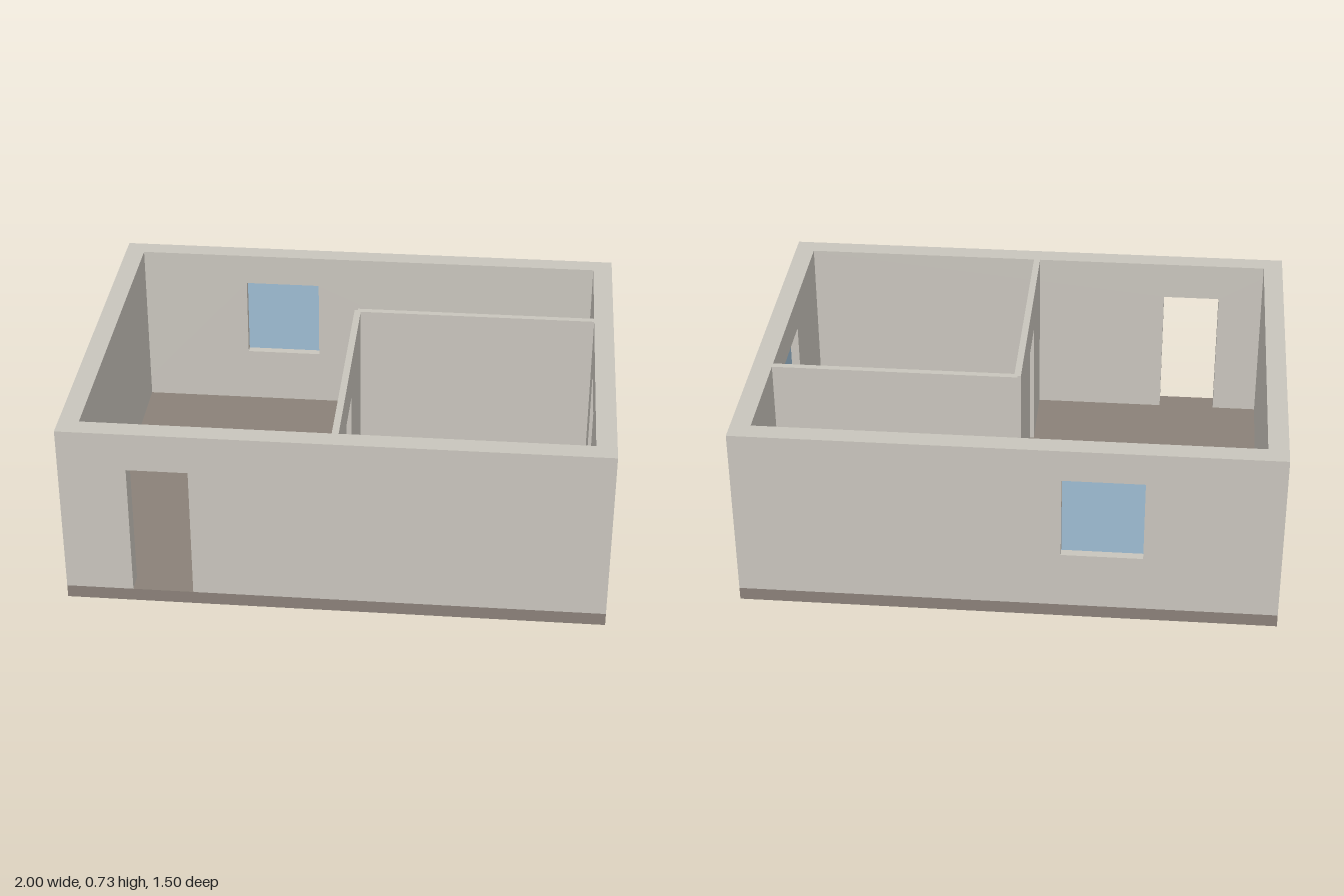
import * as THREE from 'three';

const BASE = 0.05, TOP = 0.725, W = 2, D = 1.5, T = 0.075, THIN = 0.025;
const DOOR_TOP = 0.575, SILL = 0.275, HEAD = 0.6;

const material = (color) => new THREE.MeshStandardMaterial({ color, flatShading: true });

export function createModel() {
  const model = new THREE.Group();
  const wallMat = material(0xc8c4bc);
  const floorMat = material(0x8a8078);
  const glassMat = material(0x9dbbd1);

  const box = (name, mat, size, pos) => {
    const mesh = new THREE.Mesh(new THREE.BoxGeometry(...size), mat);
    mesh.name = name;
    mesh.position.set(...pos);
    model.add(mesh);
  };

  // A wall running from a to b along x or z, centred on "at" across its thickness.
  // door and window give the range of the opening along the wall.
  const wall = (name, axis, a, b, at, thick, { door, window } = {}) => {
    // For walls along z the shape is drawn with u = -z, then turned to face +x
    const u = ([p, q]) => (axis === 'x' ? [p, q] : [-q, -p]);
    const [l, r] = u([a, b]);
    const shape = new THREE.Shape();
    shape.moveTo(l, BASE);
    if (door) {
      const [d0, d1] = u(door);
      shape.lineTo(d0, BASE);
      shape.lineTo(d0, DOOR_TOP);
      shape.lineTo(d1, DOOR_TOP);
      shape.lineTo(d1, BASE);
    }
    shape.lineTo(r, BASE);
    shape.lineTo(r, TOP);
    shape.lineTo(l, TOP);
    shape.closePath();
    if (window) {
      const [w0, w1] = u(window);
      const hole = new THREE.Path();
      hole.moveTo(w0, SILL);
      hole.lineTo(w0, HEAD);
      hole.lineTo(w1, HEAD);
      hole.lineTo(w1, SILL);
      hole.closePath();
      shape.holes.push(hole);
    }
    const geo = new THREE.ExtrudeGeometry(shape, { depth: thick, bevelEnabled: false });
    geo.translate(0, 0, -thick / 2);
    const mesh = new THREE.Mesh(geo, wallMat);
    mesh.name = name;
    if (axis === 'x') mesh.position.z = at;
    else {
      mesh.rotation.y = Math.PI / 2;
      mesh.position.x = at;
    }
    model.add(mesh);

    // Pane set in the middle of the wall
    if (window) {
      const len = window[1] - window[0], mid = (window[0] + window[1]) / 2;
      const h = HEAD - SILL, y = (HEAD + SILL) / 2;
      if (axis === 'x') box(name + 'Glass', glassMat, [len, h, 0.01], [mid, y, at]);
      else box(name + 'Glass', glassMat, [0.01, h, len], [at, y, mid]);
    }
  };

  // Floor slab
  box('floorSlab', floorMat, [W, BASE, D], [0, BASE / 2, 0]);

  // Outer walls
  const ox = W / 2 - T / 2, oz = D / 2 - T / 2, ix = W / 2 - T, iz = D / 2 - T;
  wall('frontWall', 'x', -W / 2, W / 2, oz, T, { door: [-0.75, -0.525] });
  wall('backWall', 'x', -W / 2, W / 2, -oz, T, { window: [-0.5, -0.2] });
  wall('leftWall', 'z', -iz, iz, ox, T, { window: [-0.05, 0.25] });
  wall('rightWall', 'z', -iz, iz, -ox, T);

  // Thin partitions enclosing the inner room
  wall('longPartition', 'z', -0.25, iz, 0, THIN, { door: [0.175, 0.375] });
  wall('crossPartition', 'x', 0, ix, -0.25, THIN);

  return model;
}
